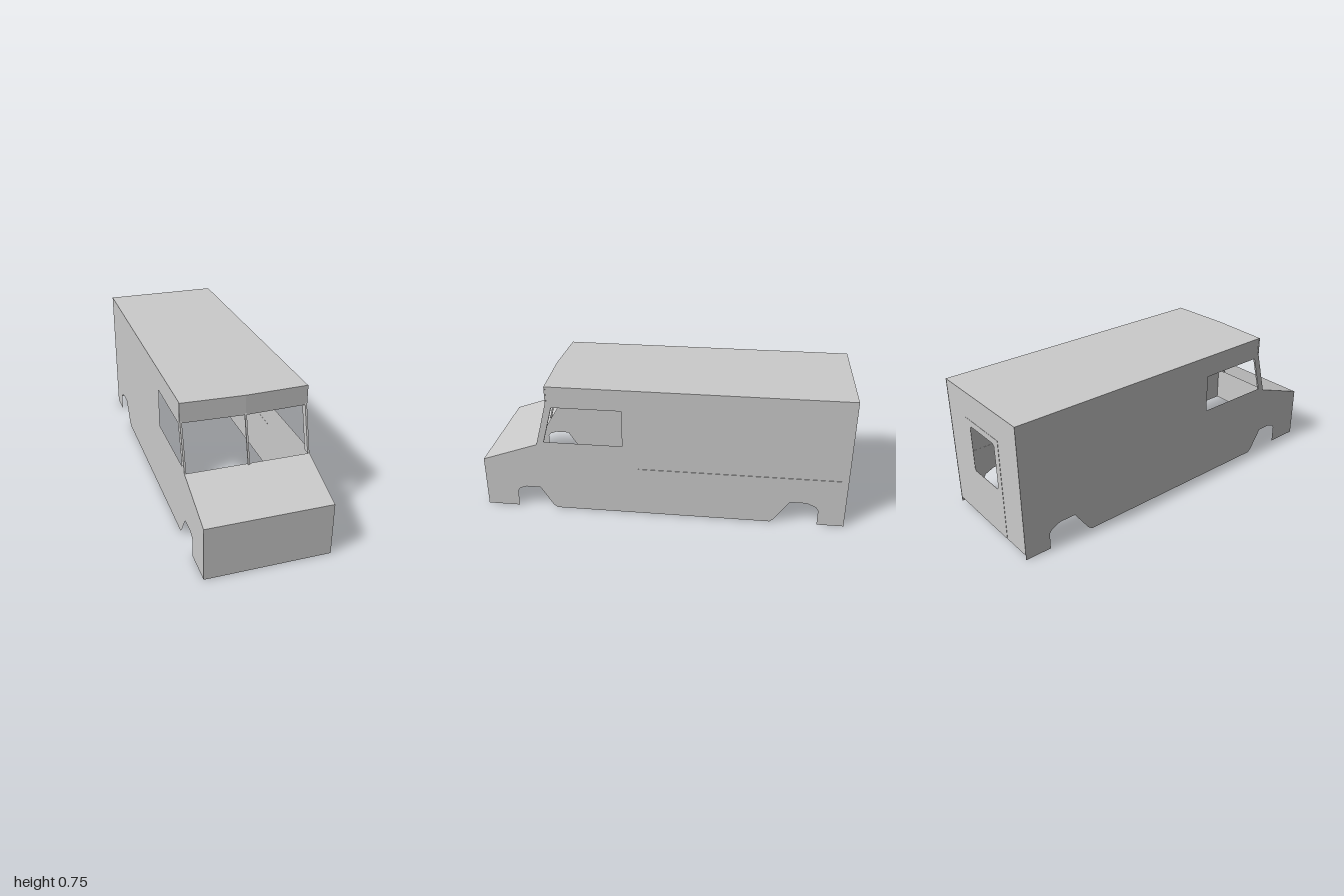
import * as THREE from 'three';

const W = 0.33; // half width of the body

export function createModel() {
  const van = new THREE.Group();
  van.name = 'stepVan';
  const mat = new THREE.MeshStandardMaterial({ color: 0xcccccc, flatShading: true, side: THREE.DoubleSide });

  const add = (name, geo, x = 0, y = 0, z = 0) => {
    const mesh = new THREE.Mesh(geo, mat);
    mesh.name = name;
    mesh.position.set(x, y, z);
    van.add(mesh);
    return mesh;
  };
  const outline = pts => new THREE.Shape(pts.map(p => new THREE.Vector2(...p)));
  const box = (name, w, h, d, x, y, z) => add(name, new THREE.BoxGeometry(w, h, d), x, y, z);

  // Side walls: (z, y) outline with wheel arches and a cab window
  const side = outline([
    [1, 0], [1, 0.29], [0.69, 0.4], [0.622, 0.65], [0.622, 0.75], [-1, 0.75], [-1, 0],
    [-0.855, 0], [-0.855, 0.09], [-0.842, 0.11], [-0.79, 0.133], [-0.7, 0.133], [-0.62, 0.018], [-0.598, 0],
    [0.598, 0], [0.62, 0.018], [0.69, 0.127], [0.77, 0.127], [0.81, 0.112], [0.82, 0.095], [0.82, 0],
  ]);
  side.holes.push(outline([[0.648, 0.42], [0.592, 0.63], [0.215, 0.63], [0.215, 0.42]]));
  const sideGeo = new THREE.ShapeGeometry(side).rotateY(-Math.PI / 2);
  for (const s of [1, -1]) add(s > 0 ? 'leftSideWall' : 'rightSideWall', sideGeo, s * W);

  // Windscreen pillars, folded inward from the side walls
  const pillarGeo = new THREE.ExtrudeGeometry(
    outline([[0.69, 0.4], [0.653, 0.402], [0.592, 0.63], [0.592, 0.655], [0.622, 0.655]]),
    { depth: 0.01, bevelEnabled: false }
  ).rotateY(-Math.PI / 2);
  add('leftPillar', pillarGeo, W);
  add('rightPillar', pillarGeo, -W + 0.01);

  // Front panel and sloping bonnet
  add('frontPanel', new THREE.PlaneGeometry(2 * W, 0.29), 0, 0.145, 1);
  const bonnet = add('bonnet', new THREE.PlaneGeometry(2 * W, Math.hypot(0.31, 0.11)), 0, 0.345, 0.845);
  bonnet.rotation.x = -Math.atan2(0.31, 0.11);

  // Roof with a shallow pointed front edge; shape y becomes z
  const roof = outline([[-W, -1], [W, -1], [W, 0.622], [0, 0.635], [-W, 0.622]]);
  add('roof', new THREE.ShapeGeometry(roof).rotateX(Math.PI / 2), 0, 0.75);

  // Header above the windscreen, with a thin lip below it
  const header = outline([
    [-0.332, 0.615], [0, 0.628], [0.332, 0.615], [0.332, 0.622], [0, 0.635], [-0.332, 0.622],
  ]);
  const headerGeo = h => new THREE.ExtrudeGeometry(header, { depth: h, bevelEnabled: false }).rotateX(Math.PI / 2);
  add('header', headerGeo(0.098), 0, 0.75);
  add('headerLip', headerGeo(0.009).scale(0.99, 1, 1), 0, 0.652);

  // Centre bar of the windscreen
  const bar = box('windscreenBar', 0.01, Math.hypot(0.255, 0.065), 0.008, 0, 0.525, 0.664);
  bar.rotation.x = -Math.atan2(0.065, 0.255);

  // Rear wall and the slightly raised rear door share a window with clipped corners
  const c = 0.012, wx = 0.116, y0 = 0.305, y1 = 0.565;
  const rear = (x, bottom, top) => {
    const s = outline([[-x, bottom], [x, bottom], [x, top], [-x, top]]);
    s.holes.push(outline([
      [-wx + c, y0], [wx - c, y0], [wx, y0 + c], [wx, y1 - c],
      [wx - c, y1], [-wx + c, y1], [-wx, y1 - c], [-wx, y0 + c],
    ]));
    return s;
  };
  add('rearWall', new THREE.ShapeGeometry(rear(W, 0.025, 0.75)), 0, 0, -0.998);
  add('rearDoor', new THREE.ExtrudeGeometry(rear(0.155, 0.027, 0.6), { depth: 0.0015, bevelEnabled: false }), 0, 0, -1);

  // Sliding door rail on one side only
  box('doorRail', 0.004, 0.006, 1.1, W + 0.001, 0.281, -0.42);

  return van;
}
